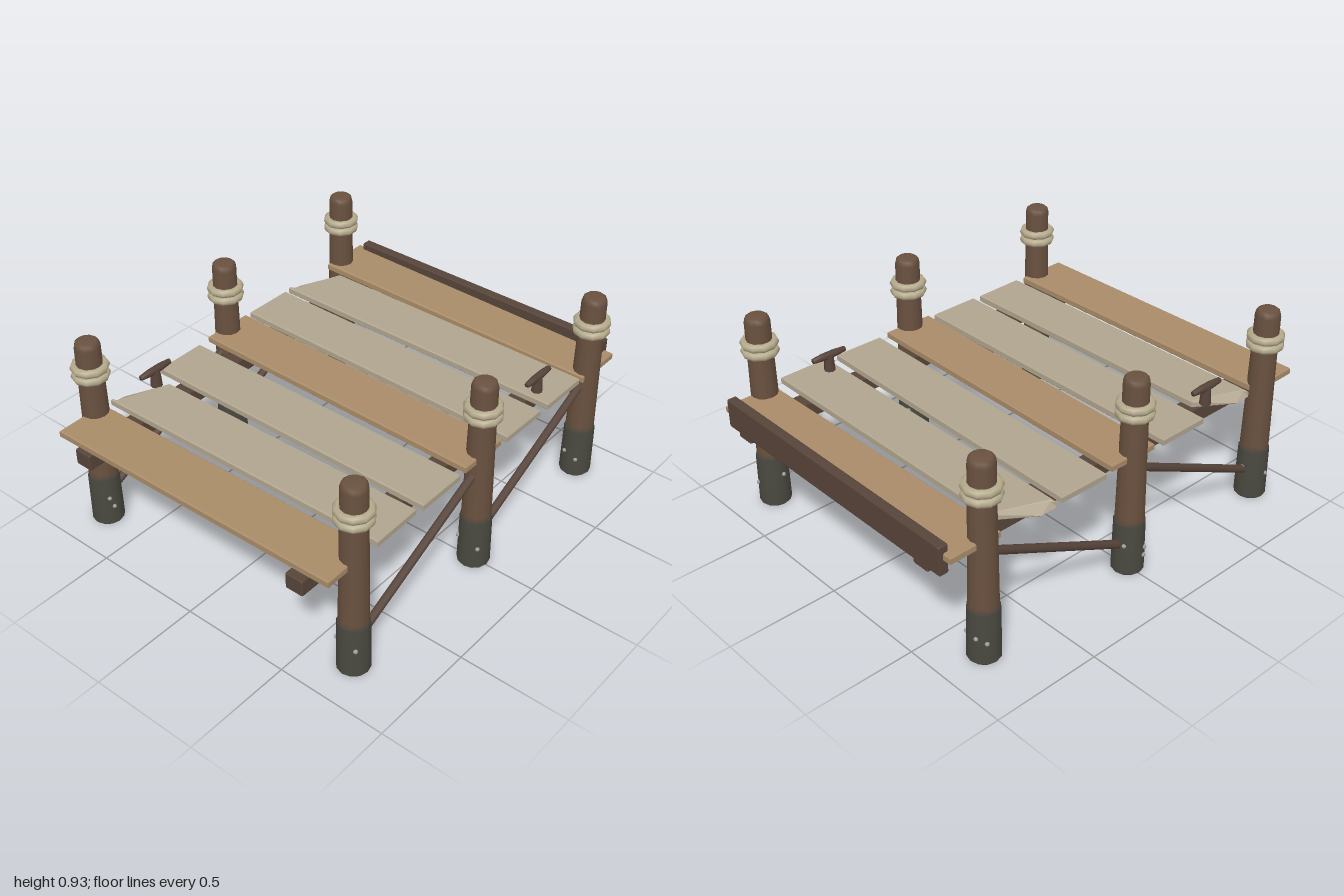
import * as THREE from 'three';
import { RoundedBoxGeometry } from 'three/addons/geometries/RoundedBoxGeometry.js';

const mat = (color) => new THREE.MeshStandardMaterial({ color });
const wood = mat(0x69513f), darkWood = mat(0x57443a), endWood = mat(0x57443a);
const tan = mat(0xa88b68), grey = mat(0xb0a48e);
const rope = mat(0xb5aa8c), wet = mat(0x4a4940), shell = mat(0x9a9c98);

function add(parent, name, geometry, material, x = 0, y = 0, z = 0) {
  const mesh = new THREE.Mesh(geometry, material);
  mesh.name = name;
  mesh.position.set(x, y, z);
  parent.add(mesh);
  return mesh;
}

// Round bar between two points
function rod(parent, name, a, b, radius, material) {
  const dir = b.clone().sub(a);
  const mesh = add(parent, name, new THREE.CylinderGeometry(radius, radius, dir.length(), 8), material);
  mesh.position.copy(a).add(b).multiplyScalar(0.5);
  mesh.quaternion.setFromUnitVectors(new THREE.Vector3(0, 1, 0), dir.normalize());
  return mesh;
}

const lathe = (points) =>
  new THREE.LatheGeometry(points.map(([r, y]) => new THREE.Vector2(r, y)), 12);

// Bevelled board; a broken board loses its back right corner along a sloping cut
function plankGeometry(width, length, thickness, broken) {
  const b = 0.006, w = width / 2 - b, l = length / 2 - b;
  const cutX = w - 0.16, cutY = l - 0.11;
  const corners = broken
    ? [[-w, -l], [w, -l], [w, cutY], [cutX, l], [-w, l]]
    : [[-w, -l], [w, -l], [w, l], [-w, l]];
  const shape = new THREE.Shape(corners.map(([x, y]) => new THREE.Vector2(x, y)));
  const depth = thickness - 2 * b;
  const geometry = new THREE.ExtrudeGeometry(shape, {
    depth, bevelEnabled: true, bevelSize: b, bevelThickness: b, bevelSegments: 1,
  });
  geometry.translate(0, 0, -depth / 2).rotateX(-Math.PI / 2);
  if (broken) {
    const p = geometry.attributes.position;
    for (let i = 0; i < p.count; i++) {
      const nearCut = Math.abs(p.getX(i) - cutX) < 0.02 && p.getZ(i) < -l + 0.02;
      if (nearCut && p.getY(i) > 0) {
        p.setX(i, p.getX(i) - 0.065);
        p.setZ(i, p.getZ(i) + 0.02);
      }
    }
    geometry.computeVertexNormals();
  }
  return geometry;
}

export function createModel() {
  const dock = new THREE.Group();
  dock.name = 'dock';

  let seed = 7;
  const random = () => (seed = (seed * 16807) % 2147483647) / 2147483647;

  // Posts with wet feet, rope bindings and barnacles
  const shaft = lathe([[0, 0.2], [0.063, 0.2], [0.063, 0.27], [0.056, 0.75], [0.055, 0.9], [0.05, 0.92], [0.04, 0.928], [0, 0.928]]);
  const foot = lathe([[0, 0], [0.064, 0], [0.071, 0.008], [0.068, 0.245], [0.062, 0.255], [0, 0.255]]);
  const ring = new THREE.TorusGeometry(0.064, 0.019, 8, 10).rotateX(Math.PI / 2);
  const barnacle = new THREE.SphereGeometry(0.01, 8, 6);
  for (const x of [-0.8, 0, 0.8]) {
    for (const z of [-0.7, 0.7]) {
      const post = new THREE.Group();
      post.name = 'post';
      post.position.set(x, 0, z);
      dock.add(post);
      add(post, 'postShaft', shaft, wood);
      add(post, 'postFoot', foot, wet);
      add(post, 'ropeLower', ring, rope, 0, 0.763, 0);
      add(post, 'ropeUpper', ring, rope, 0, 0.802, 0);
      for (let i = 0; i < 4; i++) {
        const a = random() * Math.PI * 2;
        add(post, 'barnacle', barnacle, shell, 0.069 * Math.cos(a), 0.08 + 0.09 * random(), 0.069 * Math.sin(a));
      }
    }
  }

  // Long beams and diagonal braces on both sides
  for (const z of [-0.7, 0.7]) {
    add(dock, 'beam', new RoundedBoxGeometry(1.99, 0.075, 0.085, 1, 0.007), darkWood, 0, 0.493, Math.sign(z) * 0.573);
    for (const x of [-0.8, 0]) {
      rod(dock, 'brace', new THREE.Vector3(x + 0.02, 0.126, z), new THREE.Vector3(x + 0.8, 0.504, z), 0.019, darkWood);
    }
  }

  // Deck planks: centre x, height, width, length, yaw, pitch, material, broken
  const planks = [
    [-0.856, 0.555, 0.242, 1.43, 0.015, 0, tan, false],
    [-0.572, 0.555, 0.24, 1.43, 0.015, 0, grey, true],
    [-0.283, 0.553, 0.243, 1.44, 0, 0, grey, false],
    [0.006, 0.563, 0.24, 1.44, -0.016, 0, tan, false],
    [0.287, 0.553, 0.24, 1.45, -0.014, 0, grey, false],
    [0.572, 0.555, 0.245, 1.46, 0, 0, grey, true],
    [0.856, 0.546, 0.245, 1.45, 0.003, 0.016, tan, false],
  ];
  for (const [x, y, width, length, yaw, pitch, material, broken] of planks) {
    const plank = add(dock, 'plank', plankGeometry(width, length, 0.036, broken), material, x, y, 0);
    plank.rotation.set(pitch, yaw, 0);
  }

  // Board across the end
  add(dock, 'endBoard', new RoundedBoxGeometry(0.045, 0.132, 1.37, 1, 0.007), endWood, 0.973, 0.541, 0);

  // Mooring cleats
  for (const [x, z] of [[-0.5, -0.645], [0.5, 0.638]]) {
    const cleat = new THREE.Group();
    cleat.name = 'cleat';
    cleat.position.set(x, 0.57, z);
    dock.add(cleat);
    add(cleat, 'cleatStem', new THREE.CylinderGeometry(0.02, 0.026, 0.08, 8), darkWood, 0, 0.035, 0);
    const bar = add(cleat, 'cleatBar', new THREE.LatheGeometry(
      [[0, -0.084], [0.012, -0.084], [0.017, -0.03], [0.017, 0.03], [0.012, 0.084], [0, 0.084]]
        .map(([r, y]) => new THREE.Vector2(r, y)), 8), darkWood, 0, 0.076, 0);
    bar.rotation.z = Math.PI / 2;
  }
  return dock;
}
